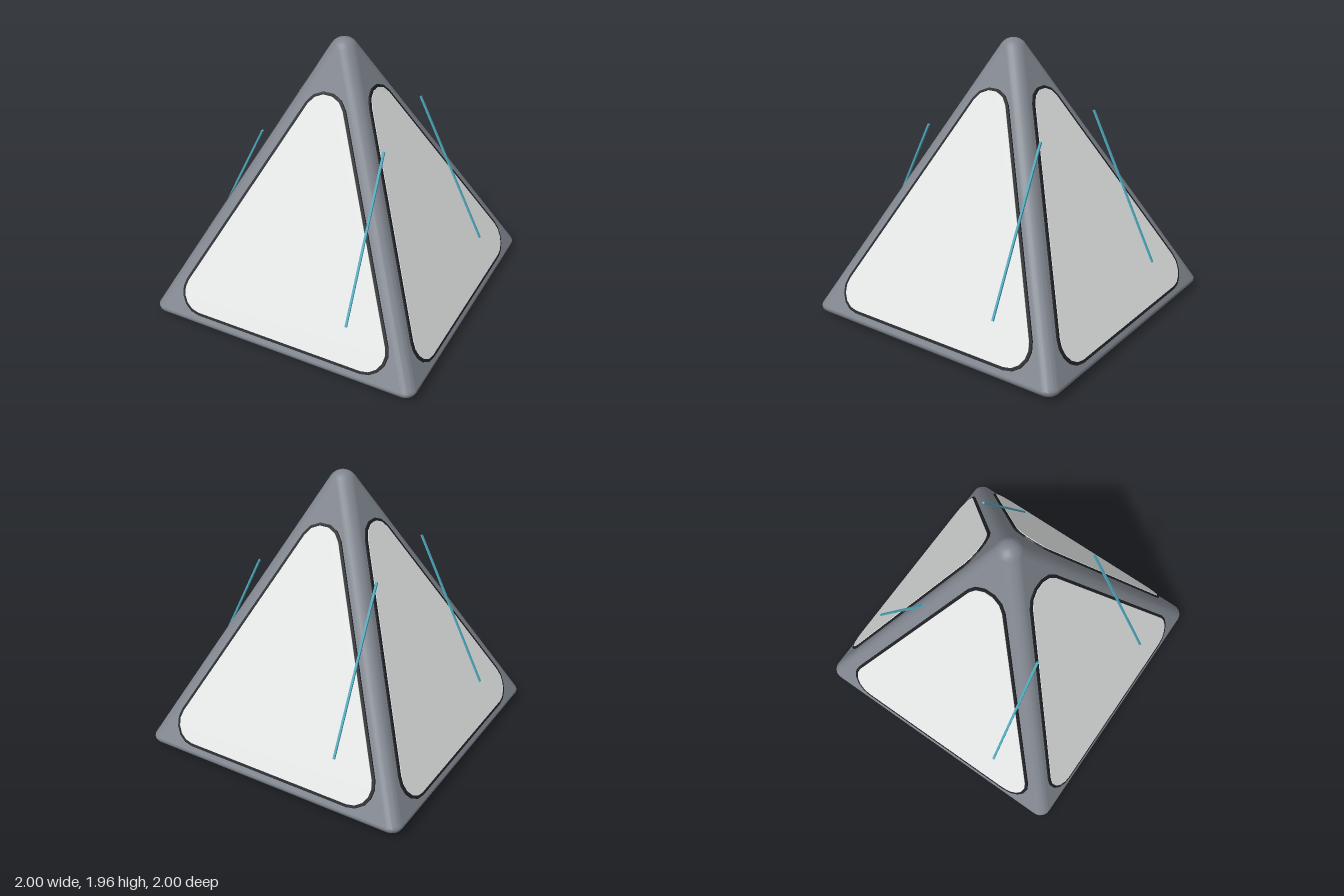
import * as THREE from 'three';
import { mergeVertices } from 'three/addons/utils/BufferGeometryUtils.js';
import { ConvexGeometry } from 'three/addons/geometries/ConvexGeometry.js';

const mat = (name, color) => {
  const m = new THREE.MeshStandardMaterial({ color });
  m.name = name;
  return m;
};

// Polygon (counter-clockwise) with round corners, grown outwards by `grow`
function roundedShape(points, radius, grow, steps = 5) {
  const out = [];
  const n = points.length;
  const normal = (a, b) => new THREE.Vector2(b.y - a.y, a.x - b.x).normalize();
  points.forEach((p, i) => {
    const n1 = normal(points[(i + n - 1) % n], p);
    const n2 = normal(p, points[(i + 1) % n]);
    const centre = p.clone().addScaledVector(n1.clone().add(n2), -radius / (1 + n1.dot(n2)));
    const turn = Math.acos(n1.dot(n2));
    for (let k = 0; k <= steps; k++) {
      const a = n1.angle() + (turn * k) / steps;
      out.push(new THREE.Vector2(Math.cos(a), Math.sin(a)).multiplyScalar(radius + grow).add(centre));
    }
  });
  return new THREE.Shape(out);
}

// Plate filling local z from `from` to `to`
function plate(name, shape, from, to, material) {
  const geo = new THREE.ExtrudeGeometry(shape, { depth: to - from, bevelEnabled: false });
  geo.translate(0, 0, from);
  const mesh = new THREE.Mesh(geo, material);
  mesh.name = name;
  return mesh;
}

// Rounded pyramid: hull around a ball at the apex and flattened balls at the base corners
function frameGeometry() {
  const pts = [];
  const ball = (x, y, z, r, ry) => {
    for (let i = 0; i <= 12; i++) {
      const a = (Math.PI * i) / 12;
      const around = i % 12 ? 24 : 1;
      for (let j = 0; j < around; j++) {
        const b = (Math.PI * j) / 12;
        pts.push(new THREE.Vector3(
          x + r * Math.sin(a) * Math.cos(b), y + ry * Math.cos(a), z + r * Math.sin(a) * Math.sin(b)));
      }
    }
  };
  ball(0, 1.855, 0, 0.1, 0.1);
  for (const x of [-0.92, 0.92]) for (const z of [-0.92, 0.92]) ball(x, 0.07, z, 0.08, 0.05);
  let geo = new ConvexGeometry(pts);
  geo.deleteAttribute('normal');
  geo = mergeVertices(geo, 1e-5);
  geo.computeVertexNormals();
  return geo;
}

export function createModel() {
  const grey = mat('frame grey', 0x80858e);
  const white = mat('panel white', 0xe8eaea);
  const black = mat('rim black', 0x1e2024);
  const teal = mat('rod teal', 0x4ca9bd);

  const model = new THREE.Group();
  model.name = 'pyramid';

  const frame = new THREE.Mesh(frameGeometry(), grey);
  frame.name = 'frame';
  model.add(frame);

  // Four sloping sides, each with a rimmed panel and a thin rod
  const slope = Math.sqrt(5) / 2;
  const triangle = [[-0.848, 0.132], [0.848, 0.132], [0, 1.815]]
    .map(([x, y]) => new THREE.Vector2(x, y * slope));
  ['front', 'left', 'back', 'right'].forEach((side, i) => {
    const turn = new THREE.Group();
    turn.name = side + 'Side';
    turn.rotation.y = (i * Math.PI) / 2;
    const face = new THREE.Group();
    face.name = side + 'Face';
    face.position.z = 1.04;
    face.rotation.x = -Math.atan(0.5);
    face.add(plate('panelRim', roundedShape(triangle, 0.142, 0.02), -0.03, 0.01, black));
    face.add(plate('panel', roundedShape(triangle, 0.142, 0), 0.006, 0.014, white));
    const rod = new THREE.Mesh(new THREE.BoxGeometry(0.015, 1.04 * slope, 0.012), teal);
    rod.name = 'rod';
    rod.position.set(0.47, 0.88 * slope - 0.008, 0.019);
    face.add(rod);
    turn.add(face);
    model.add(turn);
  });

  // Rimmed square panel underneath
  const square = [[-0.9, -0.9], [0.9, -0.9], [0.9, 0.9], [-0.9, 0.9]]
    .map(([x, y]) => new THREE.Vector2(x, y));
  const base = new THREE.Group();
  base.name = 'base';
  base.rotation.x = Math.PI / 2;
  base.add(plate('baseRim', roundedShape(square, 0.14, 0.02), -0.04, -0.003, black));
  base.add(plate('basePanel', roundedShape(square, 0.14, 0), -0.008, 0, white));
  model.add(base);

  return model;
}
